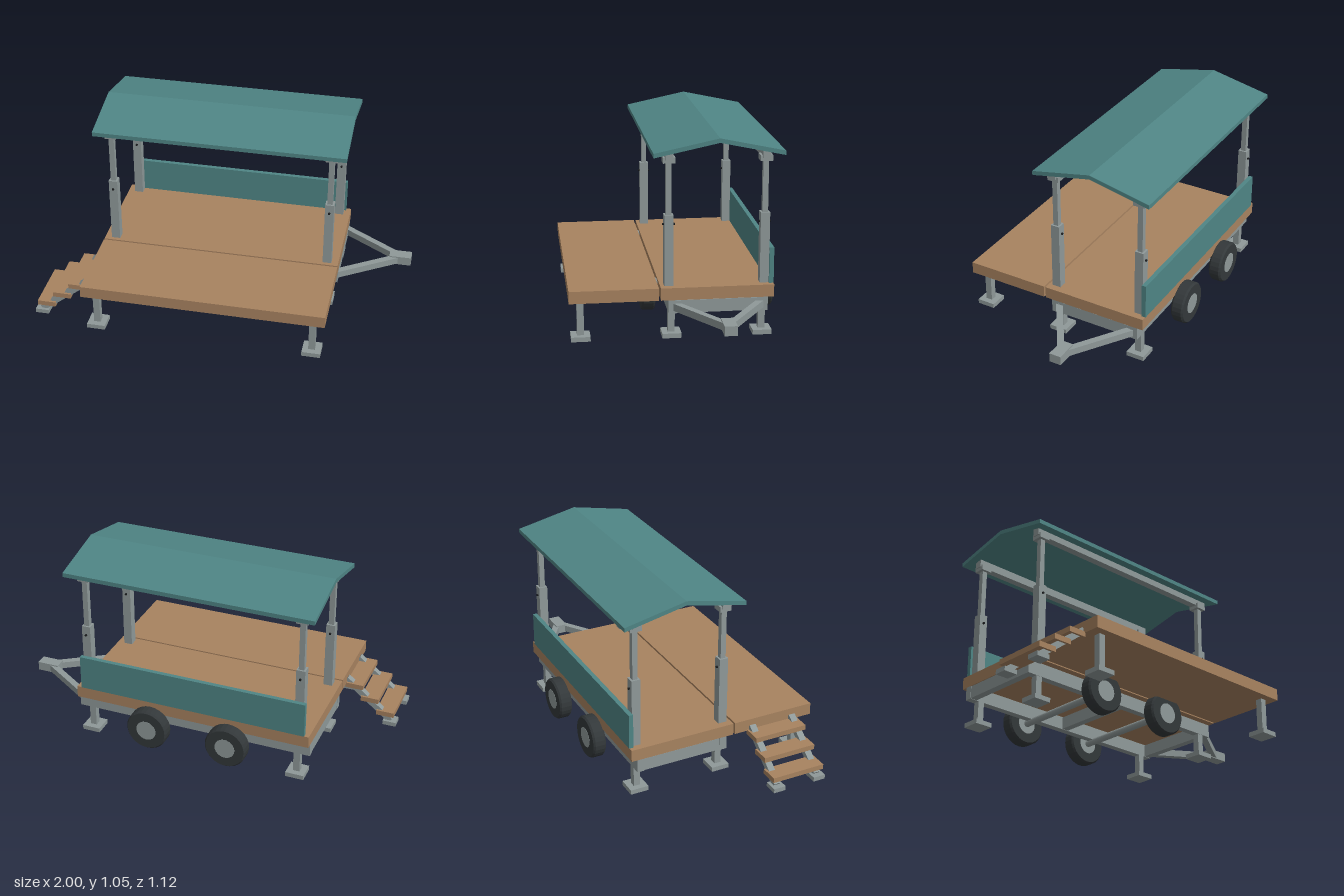
import * as THREE from 'three';

const mat = (color) => new THREE.MeshStandardMaterial({ color, flatShading: true });

export function createModel() {
  const root = new THREE.Group();
  const steel = mat(0x8f9999), wood = mat(0xa88360), teal = mat(0x4f8585);
  const rubber = mat(0x33383a), black = mat(0x1c1e20);

  const add = (name, geometry, material) => {
    const mesh = new THREE.Mesh(geometry, material);
    mesh.name = name;
    root.add(mesh);
    return mesh;
  };
  // Box given by its limits on each axis
  const box = (name, material, [x0, x1], [y0, y1], [z0, z1]) => {
    const mesh = add(name, new THREE.BoxGeometry(x1 - x0, y1 - y0, z1 - z0), material);
    mesh.position.set((x0 + x1) / 2, (y0 + y1) / 2, (z0 + z1) / 2);
    return mesh;
  };
  // Square column centred on x, z
  const column = (name, material, x, z, w, y0, y1) =>
    box(name, material, [x - w / 2, x + w / 2], [y0, y1], [z - w / 2, z + w / 2]);
  // Straight bar between two points; its local x runs along the bar
  const bar = (name, a, b, height, width) => {
    const d = new THREE.Vector3().subVectors(b, a);
    const mesh = add(name, new THREE.BoxGeometry(d.length(), height, width), steel);
    mesh.position.addVectors(a, b).multiplyScalar(0.5);
    mesh.quaternion.setFromUnitVectors(new THREE.Vector3(1, 0, 0), d.normalize());
  };
  // Cylinder lying along z
  const rod = (name, material, r, x, y, z0, z1, sides = 24) => {
    const mesh = add(name, new THREE.CylinderGeometry(r, r, z1 - z0, sides).rotateX(Math.PI / 2), material);
    mesh.position.set(x, y, (z0 + z1) / 2);
  };

  // Main deck and the fold-out deck in front of it
  const deckX = [-0.705, 0.617];
  box('mainDeck', wood, deckX, [0.212, 0.277], [-0.495, 0.09]);
  box('foldOutDeck', wood, deckX, [0.212, 0.277], [0.1, 0.56]);
  for (const x of [-0.5, 0.42]) box('deckHinge', steel, [x - 0.03, x + 0.03], [0.225, 0.264], [0.088, 0.102]);

  // Chassis: long rails and cross members
  for (const z of [0.031, -0.443]) box('chassisRail', steel, deckX, [0.14, 0.212], [z - 0.02, z + 0.02]);
  for (const x of [-0.683, -0.045, 0.595])
    box('crossMember', steel, [x - 0.02, x + 0.02], [0.142, 0.21], [-0.425, 0.013]);

  // Support legs with foot plates
  for (const x of [-0.633, 0.548]) {
    for (const z of [0.5, 0.031, -0.441]) {
      column('supportLeg', steel, x, z, 0.036, 0.02, 0.212);
      column('footPlate', steel, x, z, 0.1, 0, 0.025);
    }
  }

  // Axles and wheels; the tyre profile has chamfered shoulders
  const tyreProfile = [[0.05, -0.036], [0.107, -0.036], [0.115, -0.026], [0.115, 0.026], [0.107, 0.036], [0.05, 0.036]]
    .map(([r, y]) => new THREE.Vector2(r, y));
  for (const x of [-0.268, 0.182]) {
    rod('axle', steel, 0.019, x, 0.135, -0.5, 0.1);
    for (const z of [0.117, -0.523]) {
      const tyre = add('tyre', new THREE.LatheGeometry(tyreProfile, 28).rotateX(Math.PI / 2), rubber);
      tyre.position.set(x, 0.135, z);
      rod('wheelHub', steel, 0.056, x, 0.135, z - 0.037, z + 0.037);
    }
  }

  // Drawbar: two converging arms and the coupler
  for (const side of [-1, 1]) {
    bar('drawbarArm', new THREE.Vector3(0.605, 0.174, -0.207 + side * 0.22),
      new THREE.Vector3(0.93, 0.174, -0.207 + side * 0.008), 0.038, 0.036);
  }
  box('coupler', steel, [0.878, 1], [0.15, 0.2], [-0.24, -0.175]);

  // Telescopic roof posts with pins, caps and beams
  for (const z of [0.045, -0.45]) {
    for (const x of [-0.643, 0.555]) {
      column('lowerPost', steel, x, z, 0.048, 0.277, 0.65);
      column('upperPost', steel, x, z, 0.029, 0.64, 0.925);
      column('postCap', steel, x, z, 0.063, 0.92, 0.95);
      rod('postPin', black, 0.006, x, 0.6, z - 0.032, z + 0.032, 10);
    }
    box('roofBeam', steel, [-0.68, 0.595], [0.938, 0.982], [z - 0.021, z + 0.021]);
  }

  // Gabled roof: bent sheet profile extruded along x
  const ridge = -0.203, half = 0.333;
  const profile = new THREE.Shape([
    [-half, 0.96], [0, 1.03], [half, 0.96], [half, 0.983], [0, 1.053], [-half, 0.983],
  ].map(([u, y]) => new THREE.Vector2(u, y)).reverse());
  const roof = add('roof', new THREE.ExtrudeGeometry(profile, { depth: 1.365, bevelEnabled: false }), teal);
  roof.rotation.y = Math.PI / 2;
  roof.position.set(-0.725, 0, ridge);

  // Rear side panel
  box('sidePanel', teal, [-0.68, 0.59], [0.277, 0.467], [-0.497, -0.473]);

  // Steps at the right end
  for (let i = 0; i < 3; i++) {
    const x = -0.985 + i * 0.092, y = 0.052 + i * 0.069;
    box('stepTread', wood, [x, x + 0.1], [y, y + 0.028], [0.173, 0.472]);
  }
  for (const z of [0.442, 0.203]) {
    bar('stepStringer', new THREE.Vector3(-0.965, 0.022, z), new THREE.Vector3(-0.7, 0.232, z), 0.032, 0.036);
    box('stepFoot', steel, [-1, -0.926], [0, 0.024], [z - 0.034, z + 0.034]);
  }

  return root;
}
